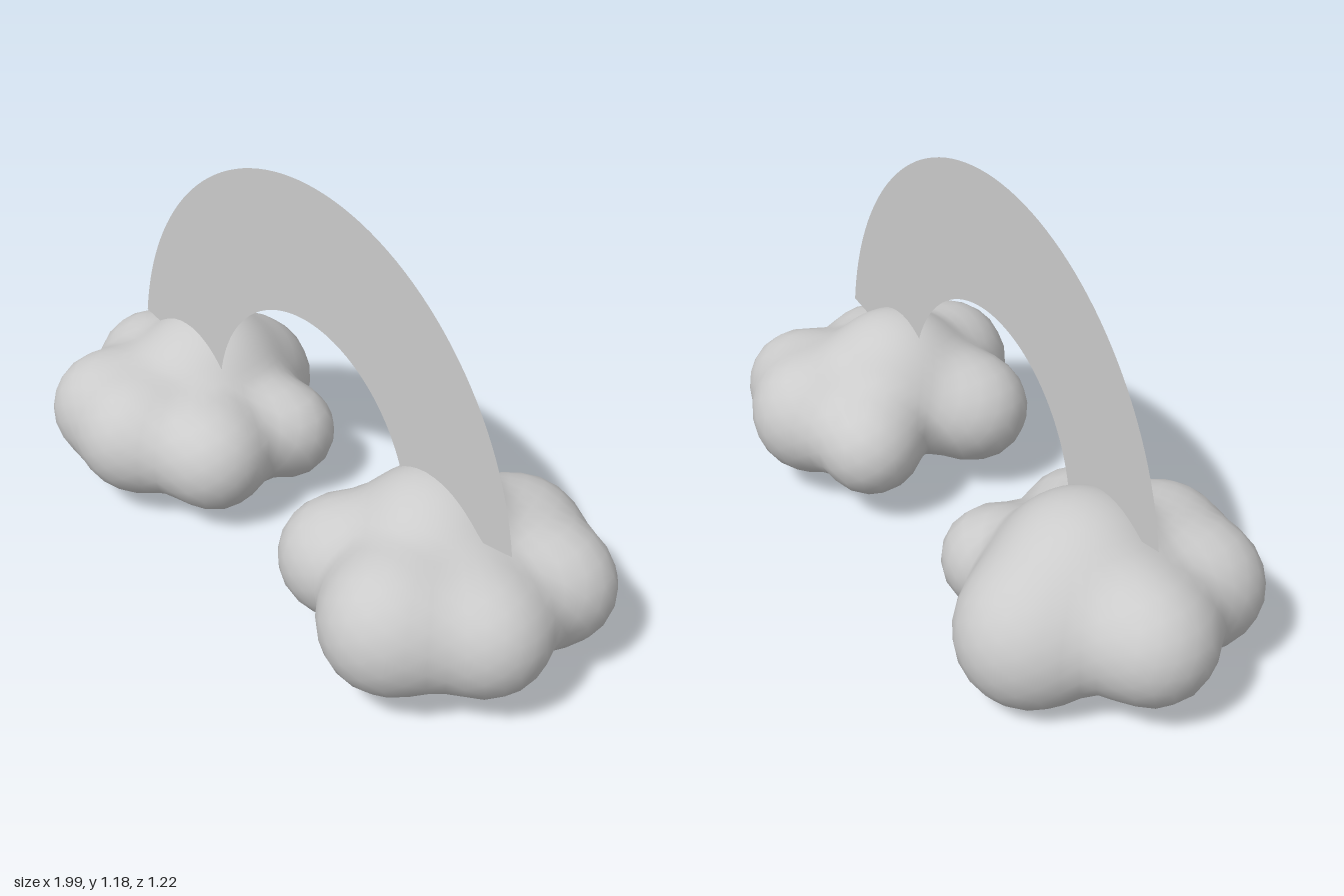
import * as THREE from 'three';
import { mergeVertices } from 'three/addons/utils/BufferGeometryUtils.js';

const material = new THREE.MeshStandardMaterial({ color: 0xcccccc });
const sheet = new THREE.MeshStandardMaterial({ color: 0xcccccc, side: THREE.DoubleSide });

// Distance to a soft union of puffs, each [x, y, z, radius]
function puffDistance(p, puffs, blend) {
  let sum = 0;
  for (const [x, y, z, r] of puffs) {
    sum += Math.exp(-(Math.hypot(p.x - x, p.y - y, p.z - z) - r) / blend);
  }
  return -blend * Math.log(sum);
}

// Shrink-wrap a coarse ball onto the puffs, marching inwards along each ray
function makeCloud(name, center, puffs) {
  const ball = new THREE.IcosahedronGeometry(1, 8);
  ball.deleteAttribute('normal');
  ball.deleteAttribute('uv');
  const geometry = mergeVertices(ball, 1e-4);
  const pos = geometry.attributes.position;
  const dir = new THREE.Vector3();
  const p = new THREE.Vector3();
  for (let i = 0; i < pos.count; i++) {
    dir.fromBufferAttribute(pos, i).normalize();
    let t = 0.8;
    for (let step = 0; step < 60; step++) {
      p.copy(center).addScaledVector(dir, t);
      t -= puffDistance(p, puffs, 0.042) * 0.9;
    }
    p.copy(center).addScaledVector(dir, t);
    pos.setXYZ(i, p.x, p.y, p.z);
  }
  geometry.computeVertexNormals();
  const mesh = new THREE.Mesh(geometry, material);
  mesh.name = name;
  return mesh;
}

export function createModel() {
  const model = new THREE.Group();
  model.name = 'rainbowWithClouds';

  // Flat arch, turned so each end sinks into a cloud
  const start = 0.15;
  const arch = new THREE.Mesh(
    new THREE.RingGeometry(0.437, 0.845, 64, 1, start, Math.PI - 2 * start), sheet);
  arch.name = 'rainbow';
  arch.position.set(0.014, 0.341, 0.018);
  arch.rotation.y = -0.27;
  model.add(arch);

  model.add(makeCloud('rightCloud', new THREE.Vector3(-0.55, 0.24, -0.16), [
    [-0.55, 0.30, -0.22, 0.22], // crown
    [-0.55, 0.22, -0.14, 0.19], // core
    [-0.55, 0.21, -0.41, 0.20],
    [-0.82, 0.24, -0.25, 0.172],
    [-0.25, 0.205, -0.23, 0.145],
    [-0.76, 0.235, 0.03, 0.17],
    [-0.57, 0.235, 0.10, 0.175],
    [-0.32, 0.22, 0.04, 0.16],
  ]));

  model.add(makeCloud('leftCloud', new THREE.Vector3(0.56, 0.27, 0.15), [
    [0.52, 0.34, 0.14, 0.205], // crown
    [0.56, 0.26, 0.15, 0.19], // core
    [0.58, 0.265, 0.42, 0.19],
    [0.79, 0.25, 0.29, 0.168],
    [0.83, 0.25, 0.01, 0.163],
    [0.65, 0.25, -0.10, 0.182],
    [0.38, 0.24, -0.10, 0.145],
    [0.30, 0.26, 0.26, 0.165],
  ]));

  return model;
}
